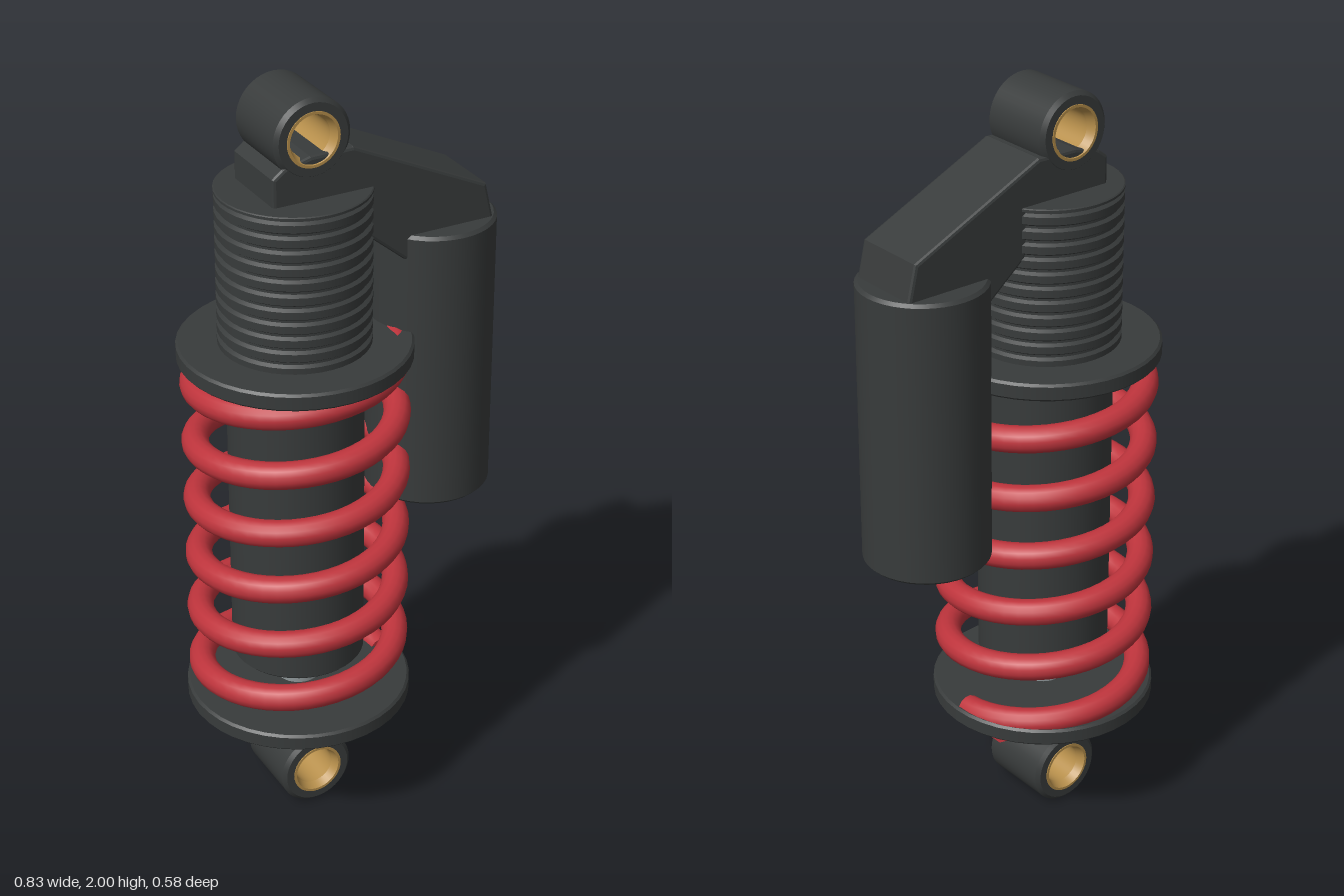
import * as THREE from 'three';

const AXIS = -0.125; // x of the damper axis
const mat = (color) => new THREE.MeshStandardMaterial({ color });
const dark = mat(0x383b3b), red = mat(0xbe343c), gold = mat(0xb8904c), steel = mat(0x8f9799);

function add(parent, name, geometry, material, x = 0, y = 0, z = 0) {
  const mesh = new THREE.Mesh(geometry, material);
  mesh.name = name;
  mesh.position.set(x, y, z);
  parent.add(mesh);
  return mesh;
}

// Turned part with sharp edges: each profile segment gets its own band of vertices
function turned(profile, sides = 40) {
  const pos = [], nor = [], idx = [];
  for (let i = 0; i < profile.length - 1; i++) {
    const [r0, y0] = profile[i], [r1, y1] = profile[i + 1];
    const len = Math.hypot(r1 - r0, y1 - y0), nr = (y1 - y0) / len, ny = (r0 - r1) / len;
    const base = pos.length / 3;
    for (let j = 0; j <= sides; j++) {
      const a = (j / sides) * Math.PI * 2, c = Math.cos(a), s = Math.sin(a);
      pos.push(r0 * c, y0, r0 * s, r1 * c, y1, r1 * s);
      nor.push(nr * c, ny, nr * s, nr * c, ny, nr * s);
      if (j < sides) {
        const k = base + j * 2;
        idx.push(k, k + 1, k + 2, k + 1, k + 3, k + 2);
      }
    }
  }
  const g = new THREE.BufferGeometry();
  g.setAttribute('position', new THREE.Float32BufferAttribute(pos, 3));
  g.setAttribute('normal', new THREE.Float32BufferAttribute(nor, 3));
  g.setIndex(idx);
  return g;
}

// Solid disc or rod from y0 to y1 with a small chamfer
const rod = (r, y0, y1, b = 0.006) =>
  turned([[0, y0], [r - b, y0], [r, y0 + b], [r, y1 - b], [r - b, y1], [0, y1]]);

// Mounting eye with a flared bushing, bored along z
function mountingEye(name, y) {
  const eye = new THREE.Group();
  eye.name = name;
  const h = 0.103, b = 0.01;
  add(eye, 'eyeHousing', turned([
    [0.066, -h], [0.1 - b, -h], [0.1, -h + b], [0.1, h - b], [0.1 - b, h], [0.066, h], [0.066, -h],
  ]), dark);
  add(eye, 'bushing', turned([
    [0.062, -h - 0.002], [0.069, -h - 0.002], [0.069, h + 0.002], [0.062, h + 0.002],
    [0.053, h - 0.02], [0.053, -h + 0.02], [0.062, -h - 0.002],
  ]), gold);
  eye.rotation.x = Math.PI / 2;
  eye.position.set(AXIS, y, 0);
  return eye;
}

// Helix rising from +x towards -z
class Helix extends THREE.Curve {
  constructor(radius, y0, pitch, turns) {
    super();
    Object.assign(this, { radius, y0, pitch, turns });
  }
  getPoint(t, target = new THREE.Vector3()) {
    const a = t * this.turns * Math.PI * 2;
    return target.set(this.radius * Math.cos(a), this.y0 + this.pitch * this.turns * t, -this.radius * Math.sin(a));
  }
}

export function createModel() {
  const model = new THREE.Group();
  model.name = 'shockAbsorber';

  model.add(mountingEye('upperEye', 1.9), mountingEye('lowerEye', 0.103));

  // Damper body, shaft and spring seats
  add(model, 'damperBody', rod(0.17, 0.45, 1.4), dark, AXIS);
  add(model, 'shaft', rod(0.056, 0.215, 0.5, 0.003), steel, AXIS);
  add(model, 'lowerSpringSeat', rod(0.29, 0.315, 0.36), dark, AXIS);
  add(model, 'upperSpringSeat', rod(0.29, 1.3, 1.345), dark, AXIS);

  // Threaded sleeve with evenly spaced grooves
  const thread = [[0, 1.31], [0.18, 1.31]];
  const rings = 11, step = 0.037;
  for (let i = 0; i < rings; i++) {
    const y = 1.335 + i * step;
    thread.push([0.18, y], [0.189, y + 0.006], [0.189, y + step - 0.012], [0.18, y + step - 0.006]);
  }
  thread.push([0.18, 1.738], [0.19, 1.742], [0.19, 1.748], [0.187, 1.75], [0, 1.75]);
  add(model, 'threadedSleeve', turned(thread), dark, AXIS);

  // Coil spring with closed ends
  const spring = new THREE.Group();
  spring.name = 'spring';
  spring.position.x = AXIS;
  const helix = new Helix(0.25, 0.345, 0.163, 6);
  add(spring, 'coil', new THREE.TubeGeometry(helix, 288, 0.034, 14), red);
  for (const t of [0, 1]) {
    const p = helix.getPoint(t), dir = helix.getTangent(t).multiplyScalar(t ? 1 : -1);
    const cap = add(spring, 'coilEnd', new THREE.CircleGeometry(0.034, 14), red, p.x, p.y, p.z);
    cap.quaternion.setFromUnitVectors(new THREE.Vector3(0, 0, 1), dir);
  }
  model.add(spring);

  // Rebound adjuster knob beside the shaft
  const knob = add(model, 'adjusterKnob', new THREE.CylinderGeometry(0.058, 0.058, 0.075, 10), red, -0.002, 0.26, 0);
  knob.rotation.z = Math.PI / 2;
  knob.material = red.clone();
  knob.material.flatShading = true;

  // Bridge from the upper eye to the reservoir
  const b = 0.008;
  const outline = [
    [-0.222, 1.7], [-0.222, 1.815], [-0.2, 1.832], [-0.13, 1.85], [-0.02, 1.852],
    [0.338, 1.684], [0.358, 1.6], [0.34, 1.56], [0.13, 1.542], [0.03, 1.625], [0.0, 1.7],
  ];
  const shape = new THREE.Shape(outline.map(([x, y]) => new THREE.Vector2(x, y)));
  // Clearance for the eye bore
  const bore = new THREE.Path();
  bore.absarc(AXIS, 1.9, 0.085, 0, Math.PI * 2, true);
  const notch = bore.getPoints(32).filter((p) => p.y < 1.845).sort((p, q) => p.x - q.x);
  const pts = outline.map(([x, y]) => new THREE.Vector2(x, y));
  pts.splice(3, 1, ...notch);
  shape.setFromPoints(pts);
  add(model, 'reservoirBridge', new THREE.ExtrudeGeometry(shape, {
    depth: 0.204 - 2 * b, bevelEnabled: true, bevelSize: b, bevelThickness: b, bevelSegments: 2,
  }), dark, 0, 0, -0.102 + b);

  // Piggyback reservoir
  add(model, 'reservoir', rod(0.161, 0.855, 1.6, 0.008), dark, 0.251);

  return model;
}
